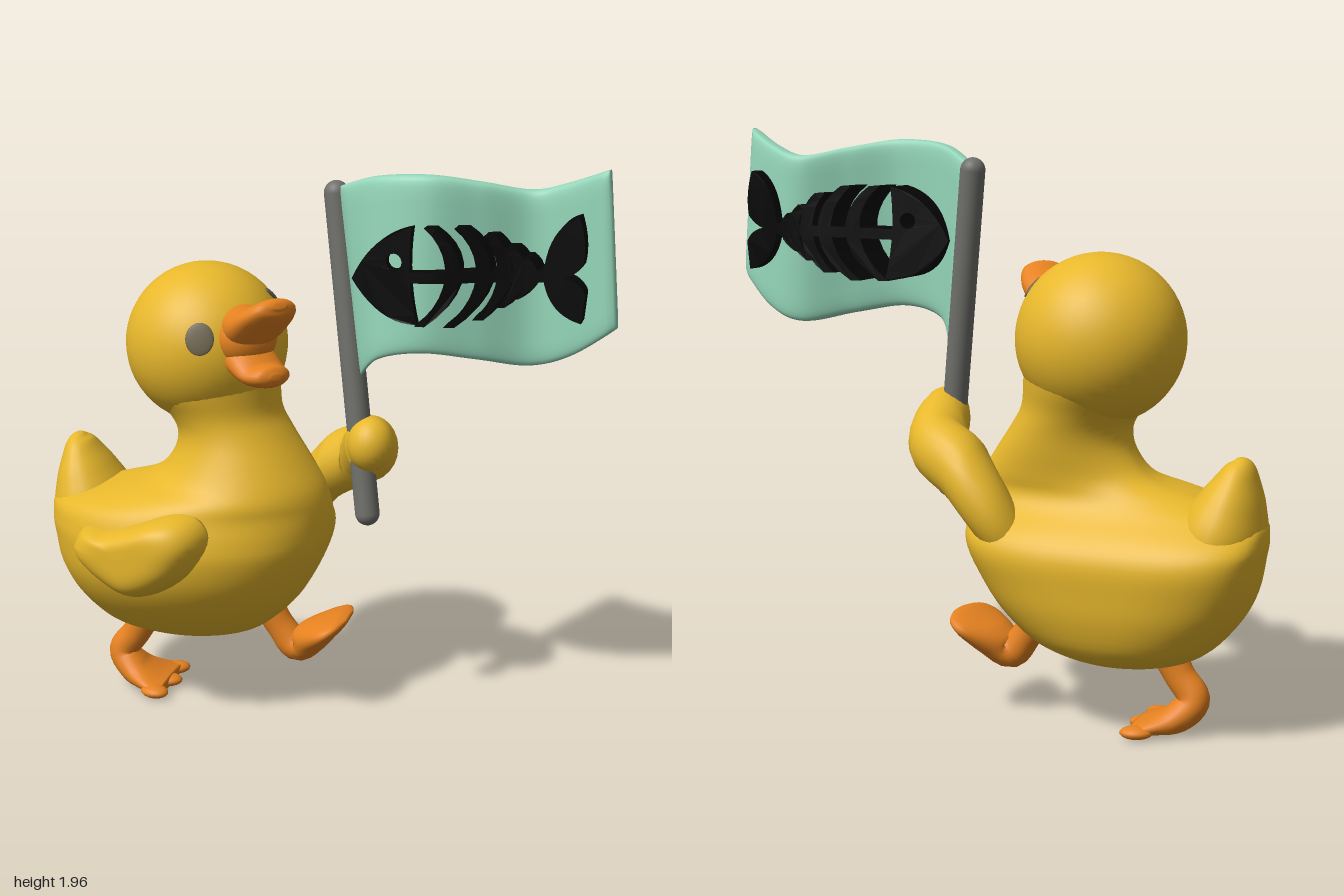
import * as THREE from 'three';

const mat = (name, color, side = THREE.FrontSide) => {
  const m = new THREE.MeshStandardMaterial({ color, side });
  m.name = name;
  return m;
};
const pow = (v, p) => Math.sign(v) * Math.abs(v) ** p;

// Smooth interpolation through rows of numbers, t in 0..1
function sample(rows, t) {
  const f = t * (rows.length - 1), i = Math.min(Math.floor(f), rows.length - 2), k = f - i;
  const at = j => rows[Math.max(0, Math.min(rows.length - 1, j))];
  const [a, b, c, d] = [at(i - 1), at(i), at(i + 1), at(i + 2)];
  return b.map((_, n) => b[n] + 0.5 * k * (c[n] - a[n] + k * (2 * a[n] - 5 * b[n] + 4 * c[n] - d[n]
    + k * (3 * (b[n] - c[n]) + d[n] - a[n]))));
}

// Closed skin over rings fn(t, angle), capped at both ends
function loft(n, m, fn) {
  const pts = [], idx = [];
  for (let i = 0; i <= n; i++) for (let j = 0; j < m; j++) pts.push(fn(i / n, j / m * Math.PI * 2));
  for (let i = 0; i < n; i++) for (let j = 0; j < m; j++) {
    const a = i * m + j, b = i * m + (j + 1) % m;
    idx.push(a, b, a + m, b, b + m, a + m);
  }
  for (const s of [0, n * m]) {
    const c = new THREE.Vector3();
    for (let j = 0; j < m; j++) c.addScaledVector(pts[s + j], 1 / m);
    pts.push(c);
    for (let j = 0; j < m; j++) {
      const a = s + j, b = s + (j + 1) % m;
      if (s) idx.push(a, b, pts.length - 1); else idx.push(b, a, pts.length - 1);
    }
  }
  // Turn the skin outward if its enclosed volume is negative
  let vol = 0;
  const x = new THREE.Vector3();
  for (let i = 0; i < idx.length; i += 3) vol += x.crossVectors(pts[idx[i]], pts[idx[i + 1]]).dot(pts[idx[i + 2]]);
  if (vol < 0) idx.reverse();
  const g = new THREE.BufferGeometry().setFromPoints(pts);
  g.setIndex(idx);
  g.computeVertexNormals();
  return g;
}

// Oval section swept along rows [x, y, z, thickness, width]; width runs along the axis
function sweep(rows, axis = new THREE.Vector3(0, 0, 1)) {
  return loft(28, 24, (t, a) => {
    const [x, y, z, th, w] = sample(rows, t);
    const p = sample(rows, Math.max(0, t - 0.02)), q = sample(rows, Math.min(1, t + 0.02));
    const nrm = new THREE.Vector3(q[0] - p[0], q[1] - p[1], q[2] - p[2]).cross(axis).normalize();
    return new THREE.Vector3(x, y, z).addScaledVector(nrm, th * Math.cos(a)).addScaledVector(axis, w * Math.sin(a));
  });
}

export function createModel() {
  const model = new THREE.Group();
  model.name = 'duckWithFlag';
  const yellow = mat('yellow', 0xe8b82c), orange = mat('orange', 0xe68220), grey = mat('poleGrey', 0x70706c),
    eyeGrey = mat('eyeGrey', 0x6f6650), mint = mat('mint', 0x96d8bb), black = mat('black', 0x060606, THREE.DoubleSide);
  const add = (name, geo, material, parent = model) => {
    const m = new THREE.Mesh(geo, material);
    m.name = name;
    parent.add(m);
    return m;
  };

  // Body and neck, scooped behind above a low rim: [y, xMin, xMax, zMax, zMin, squareness of the back half]
  const bodyRows = [
    [0.22, -0.60, -0.45, -0.04, -0.16, 1], [0.245, -0.73, -0.31, 0.02, -0.24, 1],
    [0.30, -0.83, -0.20, 0.12, -0.31, 0.9], [0.40, -0.92, -0.10, 0.22, -0.35, 0.8],
    [0.50, -0.97, -0.04, 0.28, -0.365, 0.7], [0.60, -0.99, 0, 0.30, -0.37, 0.6],
    [0.67, -1.0, 0.012, 0.29, -0.335, 0.6], [0.74, -0.975, 0.014, 0.265, -0.265, 0.85],
    [0.79, -0.8, 0.004, 0.24, -0.235, 1], [0.84, -0.62, -0.018, 0.20, -0.235, 1],
    [0.92, -0.545, -0.07, 0.16, -0.25, 1], [1.0, -0.53, -0.125, 0.13, -0.265, 1],
    [1.07, -0.57, -0.165, 0.125, -0.285, 1], [1.15, -0.65, -0.175, 0.145, -0.32, 1], [1.24, -0.68, -0.18, 0.16, -0.34, 1],
  ];
  add('body', loft(56, 48, (t, a) => {
    const [y, x0, x1, zf, zb, p] = sample(bodyRows, t), c = Math.cos(a), s = Math.sin(a), z0 = -0.09;
    const e = s < 0 ? p : 1;
    return new THREE.Vector3((x0 + x1) / 2 + (x1 - x0) / 2 * pow(c, e), y,
      z0 + (s < 0 ? (z0 - zb) : (zf - z0)) * pow(s, e));
  }), yellow);

  // Upturned tail
  add('tail', sweep([[-0.83, 0.56, -0.09, 0.13, 0.19], [-0.862, 0.7, -0.09, 0.138, 0.19],
    [-0.888, 0.8, -0.09, 0.104, 0.15], [-0.904, 0.87, -0.09, 0.068, 0.105], [-0.911, 0.915, -0.09, 0.042, 0.065],
    [-0.91, 0.937, -0.09, 0.012, 0.018]]), yellow);

  // Head and eyes
  const centre = new THREE.Vector3(-0.43, 1.295, -0.09);
  add('head', new THREE.SphereGeometry(0.28, 40, 28), yellow).position.copy(centre);
  for (const [name, x, y, z, h] of [['rightEye', 0.06, 0.07, 0.265, 0.055], ['leftEye', 0.22, 0.165, -0.06, 0.02]]) {
    const eye = add(name, new THREE.SphereGeometry(1, 24, 16), eyeGrey);
    const dir = new THREE.Vector3(x, y, z).normalize();
    eye.scale.set(0.048, h, 0.008);
    eye.quaternion.setFromUnitVectors(new THREE.Vector3(0, 0, 1), dir);
    eye.position.copy(centre).addScaledVector(dir, 0.278);
  }

  // Open beak, turned towards the front
  const beak = new THREE.Group();
  beak.name = 'beak';
  beak.position.set(centre.x, 0, centre.z);
  beak.rotation.y = -0.7;
  model.add(beak);
  add('upperBeak', sweep([[0.2, 1.38, 0, 0.085, 0.08], [0.29, 1.4, 0, 0.07, 0.105], [0.37, 1.445, 0, 0.05, 0.105],
    [0.43, 1.487, 0, 0.035, 0.075], [0.45, 1.497, 0, 0.01, 0.025]]), orange, beak);
  add('lowerBeak', sweep([[0.2, 1.31, 0, 0.07, 0.085], [0.28, 1.28, 0, 0.06, 0.095], [0.35, 1.25, 0, 0.042, 0.09],
    [0.41, 1.253, 0, 0.035, 0.065], [0.43, 1.255, 0, 0.01, 0.02]]), orange, beak);
  const mouth = add('mouth', new THREE.SphereGeometry(1, 24, 16), orange, beak);
  mouth.scale.set(0.09, 0.1, 0.108);
  mouth.position.set(0.25, 1.355, 0);

  // Puffy folded wing on the front side
  const outline = new THREE.SplineCurve([[-0.25, 0], [-0.205, 0.065], [-0.1, 0.072], [0.01, 0.105], [0.14, 0.145],
    [0.225, 0.125], [0.255, 0.05], [0.2, -0.06], [0.09, -0.14], [-0.02, -0.165], [-0.15, -0.11], [-0.235, -0.045],
    [-0.25, 0]].map(([x, y]) => new THREE.Vector2(x, y)));
  const wing = add('foldedWing', loft(24, 48, (t, a) => {
    const p = outline.getPoint(a / (Math.PI * 2)), q = t * Math.PI / 2, s = Math.max(0, Math.cos(q)) ** 0.45;
    return new THREE.Vector3(p.x * s, p.y * s, 0.17 * Math.sin(q));
  }), yellow);
  wing.position.set(-0.57, 0.63, 0.195);
  wing.rotation.y = -0.24;

  // Raised wing arm gripping the pole
  add('raisedWing', sweep([[-0.25, 0.54, -0.17, 0.05, 0.06], [-0.15, 0.67, -0.215, 0.12, 0.13], [-0.07, 0.77, -0.23, 0.125, 0.14],
    [0, 0.85, -0.22, 0.112, 0.125], [0.11, 0.91, -0.175, 0.105, 0.115], [0.155, 0.96, -0.08, 0.095, 0.115],
    [0.165, 0.985, 0.0, 0.08, 0.1], [0.165, 0.99, 0.04, 0.03, 0.04]], new THREE.Vector3(0, 1, 0)), yellow);
  const hand = add('hand', new THREE.SphereGeometry(0.085, 24, 16), yellow);
  hand.position.set(0.175, 0.995, 0.0);
  hand.scale.set(0.95, 1.1, 1);

  // Flag pole
  const top = new THREE.Vector3(0.03, 1.83, -0.09), foot = new THREE.Vector3(0.165, 0.75, 0.002);
  const pole = add('pole', new THREE.CapsuleGeometry(0.042, top.distanceTo(foot), 8, 24), grey);
  pole.position.lerpVectors(foot, top, 0.5);
  pole.quaternion.setFromUnitVectors(new THREE.Vector3(0, 1, 0), top.clone().sub(foot).normalize());

  // Waving flag: [topX, topY, bottomX, bottomY, z]
  const flagRows = [[0.045, 1.855, 0.13, 1.22, -0.08], [0.2, 1.91, 0.22, 1.315, 0.045], [0.38, 1.925, 0.37, 1.35, 0.08],
    [0.54, 1.9, 0.54, 1.325, 0.02], [0.69, 1.87, 0.7, 1.295, -0.055], [0.81, 1.9, 0.84, 1.34, -0.03],
    [0.955, 1.96, 0.995, 1.455, 0.055]];
  add('flag', loft(60, 32, (t, a) => {
    const [tx, ty, bx, by, z] = sample(flagRows, t);
    const v = 0.5 - 0.5 * pow(Math.cos(a), 0.2), edge = Math.min(t, 1 - t);
    const th = 0.039 * Math.max(0.45, Math.min(1, Math.sqrt(edge / 0.04)));
    return new THREE.Vector3(tx + (bx - tx) * v, ty + (by - ty) * v,
      z + 0.04 * v * (1 - t) + th * pow(Math.sin(a), 0.4));
  }), mint);

  // Fish bones standing out on both faces of the flag
  const fish = new THREE.Group();
  fish.name = 'fishBones';
  model.add(fish);
  const depths = [[0.14, -0.05], [0.18, -0.085], [0.125, -0.14], [0.12, -0.105]];
  const bend = g => {
    const p = g.attributes.position;
    for (let i = 0; i < p.count; i++) {
      const [front, back] = sample(depths, THREE.MathUtils.clamp((p.getX(i) - 0.14) / 0.76, 0, 1));
      p.setZ(i, p.getZ(i) > 0.5 ? front : back);
    }
    g.computeVertexNormals();
    return g;
  };
  const slab = (name, shape) => add(name,
    bend(new THREE.ExtrudeGeometry(shape, { depth: 1, bevelEnabled: false, curveSegments: 10 })), black, fish);

  const head = new THREE.Shape();
  head.moveTo(0.14, 1.59);
  head.quadraticCurveTo(0.21, 1.74, 0.345, 1.77);
  head.quadraticCurveTo(0.325, 1.61, 0.365, 1.455);
  head.quadraticCurveTo(0.23, 1.45, 0.14, 1.59);
  head.holes.push(new THREE.Path().absarc(0.285, 1.655, 0.027, 0, Math.PI * 2, true));
  slab('fishHead', head);

  // Curved ribs: [tip x, outermost x, half height]
  for (const [x, mid, h] of [[0.42, 0.5, 0.16], [0.515, 0.595, 0.16], [0.605, 0.66, 0.135], [0.668, 0.712, 0.095], [0.712, 0.745, 0.065]]) {
    const c = 1.61, rib = new THREE.Shape();
    const low = x - 0.03, bow = (mid - (x + low) / 8) / 0.75, inner = bow - 0.05;
    rib.moveTo(x, c + h);
    rib.bezierCurveTo(bow, c + h * 0.5, bow, c - h * 0.4, low, c - h);
    rib.lineTo(low - 0.035, c - h);
    rib.bezierCurveTo(inner, c - h * 0.4, inner, c + h * 0.5, x - 0.035, c + h);
    rib.closePath();
    slab('fishRib', rib);
  }
  const spine = new THREE.BoxGeometry(0.5, 0.036, 1, 12, 1, 1);
  spine.rotateZ(0.03).translate(0.57, 1.615, 0.5);
  add('fishSpine', bend(spine), black, fish);

  const fin = new THREE.Shape();
  fin.moveTo(0.76, 1.625);
  fin.quadraticCurveTo(0.77, 1.78, 0.87, 1.815);
  fin.quadraticCurveTo(0.9, 1.73, 0.885, 1.66);
  fin.quadraticCurveTo(0.86, 1.63, 0.825, 1.62);
  fin.quadraticCurveTo(0.88, 1.61, 0.895, 1.57);
  fin.lineTo(0.885, 1.475);
  fin.quadraticCurveTo(0.78, 1.5, 0.76, 1.615);
  slab('fishTail', fin);

  // Legs with webbed feet
  const z = -0.085;
  add('rearLeg', sweep([[-0.66, 0.3, z, 0.06, 0.06], [-0.715, 0.2, z, 0.052, 0.05], [-0.765, 0.125, z, 0.054, 0.055],
    [-0.715, 0.06, z, 0.052, 0.09], [-0.645, 0.035, z, 0.034, 0.13], [-0.585, 0.024, z, 0.022, 0.15]]), orange);
  add('frontLeg', sweep([[-0.21, 0.34, z, 0.055, 0.055], [-0.165, 0.27, z, 0.052, 0.05], [-0.11, 0.212, z, 0.06, 0.062],
    [-0.045, 0.255, z, 0.058, 0.115], [0.015, 0.297, z, 0.04, 0.15], [0.06, 0.325, z, 0.024, 0.125],
    [0.085, 0.337, z, 0.006, 0.05]]), orange);
  for (const s of [-1, 0, 1]) {
    const toe = add('toe', new THREE.SphereGeometry(1, 16, 12), orange);
    toe.scale.set(0.055, 0.022, 0.042);
    toe.position.set(s ? -0.61 : -0.6, 0.024, z + s * 0.118);
    toe.rotation.y = -s * 0.4;
  }
  return model;
}
